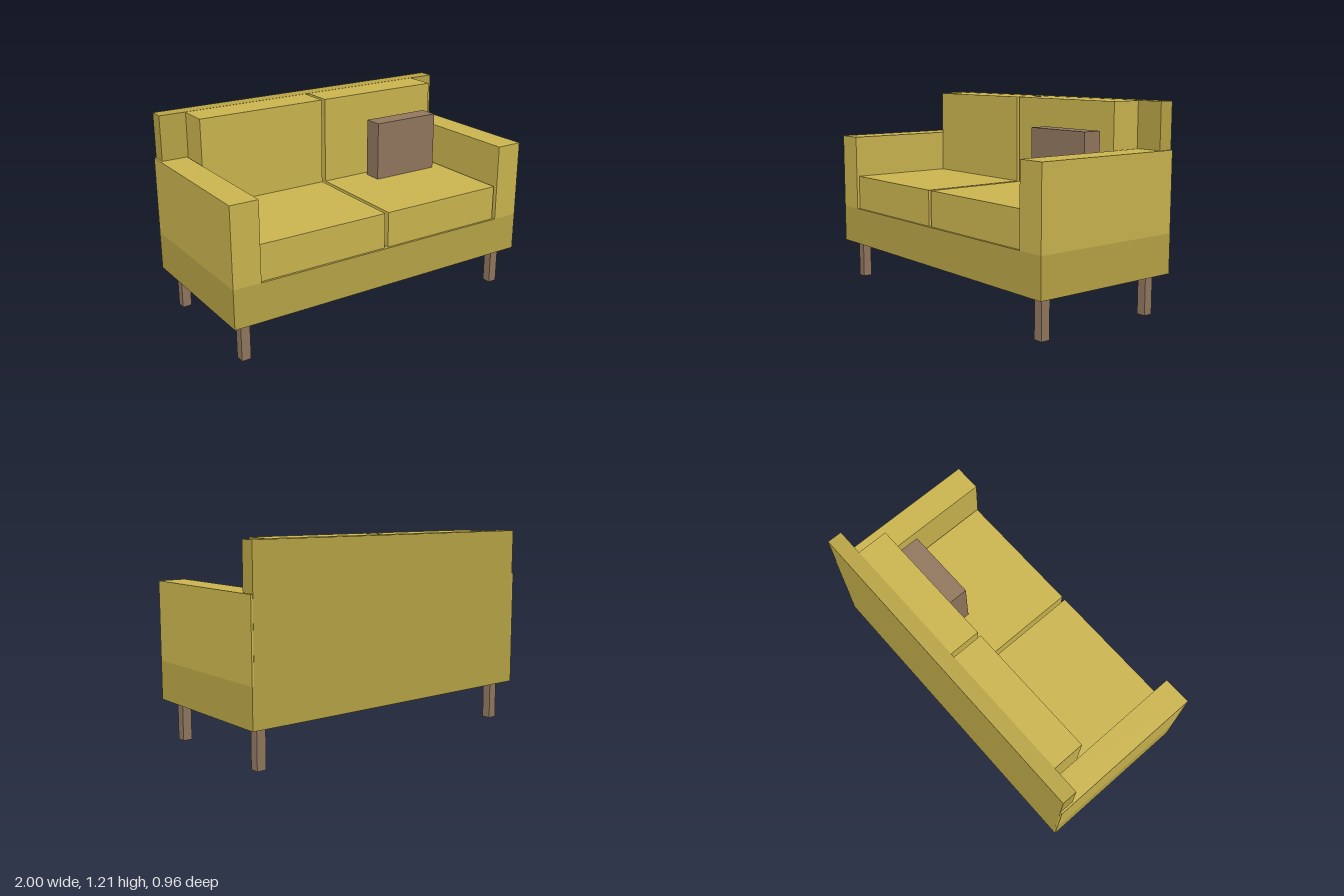
import * as THREE from 'three';

const fabric = new THREE.MeshStandardMaterial({ color: 0xccb650 });
const frame = new THREE.MeshStandardMaterial({ color: 0xb9a546 });
const brown = new THREE.MeshStandardMaterial({ color: 0x92785f });

export function createModel() {
  const sofa = new THREE.Group();
  sofa.name = 'sofa';

  // Box given by its extents along each axis
  function box(name, material, [x0, x1], [y0, y1], [z0, z1]) {
    const geometry = new THREE.BoxGeometry(x1 - x0, y1 - y0, z1 - z0);
    const mesh = new THREE.Mesh(geometry, material);
    mesh.position.set((x0 + x1) / 2, (y0 + y1) / 2, (z0 + z1) / 2);
    mesh.name = name;
    sofa.add(mesh);
  }

  // Frame: base and back panel
  box('base', frame, [-1, 1], [0.24, 0.473], [-0.481, 0.481]);
  box('backPanel', frame, [-0.988, 0.988], [0.473, 1.214], [-0.481, -0.39]);

  for (const [side, s] of [['left', 1], ['right', -1]]) {
    // Armrests, kept just inside the back panel's rear face
    const armX = [0.832 * s, s].sort((a, b) => a - b);
    box(side + 'Armrest', fabric, armX, [0.473, 0.943], [-0.48, 0.481]);

    // Seat and back cushions, with a narrow gap in the middle
    const cushionX = s > 0 ? [0.01, 0.82] : [-0.825, -0.014];
    box(side + 'SeatCushion', fabric, cushionX, [0.473, 0.687], [-0.39, 0.467]);
    box(side + 'BackCushion', fabric, cushionX, [0.687, 1.213], [-0.41, -0.2]);

    // Square legs
    const legX = [0.878 * s, 0.934 * s].sort((a, b) => a - b);
    box(side + 'FrontLeg', brown, legX, [0, 0.24], [0.361, 0.417]);
    box(side + 'BackLeg', brown, legX, [0, 0.24], [-0.416, -0.36]);
  }

  // Loose throw pillow
  box('throwPillow', brown, [0.304, 0.749], [0.687, 1.049], [-0.164, -0.046]);

  return sofa;
}
